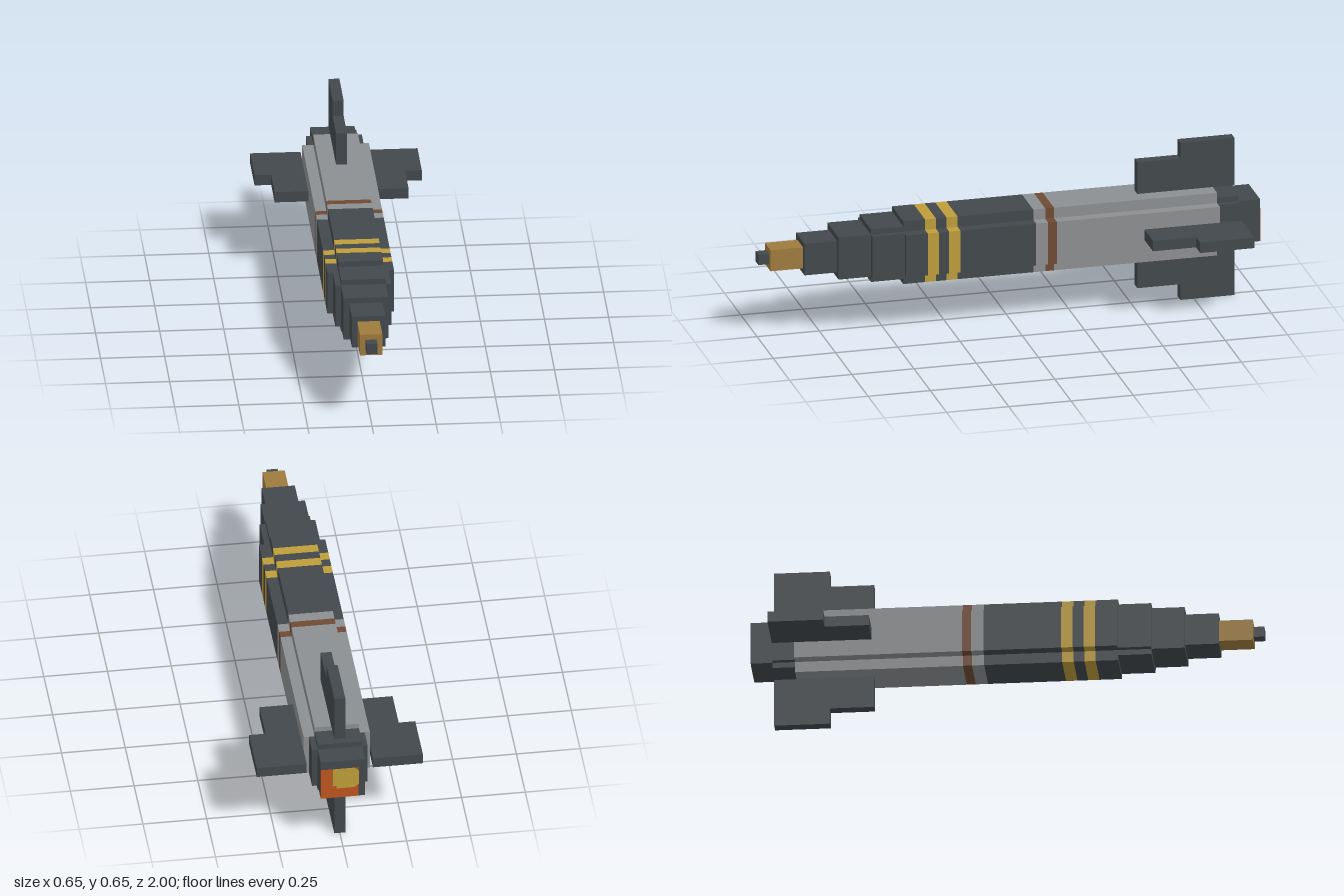
import * as THREE from 'three';

const CY = 0.326; // height of the long axis

const material = (name, color) => {
  const m = new THREE.MeshStandardMaterial({ color });
  m.name = name;
  return m;
};

export function createModel() {
  const dark = material('darkGrey', 0x42484c);
  const grey = material('lightGrey', 0x8c8f91);
  const yellow = material('stripeYellow', 0xbd9d3a);
  const gold = material('noseGold', 0x9e7b3d);
  const brown = material('bandBrown', 0x6f4a33);
  const orange = material('exhaustOrange', 0xbc5520);

  const rocket = new THREE.Group();
  rocket.name = 'rocket';
  const axis = new THREE.Group();
  axis.name = 'hull';
  axis.position.y = CY;
  rocket.add(axis);

  // A prism from z0 to z1 with a plus-shaped section: a = half span, b = half arm width.
  // When a equals b the section is a plain square.
  function section(name, mat, z0, z1, a, b = a) {
    const depth = z1 - z0;
    let geometry;
    if (a === b) {
      geometry = new THREE.BoxGeometry(2 * a, 2 * a, depth);
      geometry.translate(0, 0, depth / 2);
    } else {
      const outline = [[a, -b], [a, b], [b, b], [b, a], [-b, a], [-b, b],
        [-a, b], [-a, -b], [-b, -b], [-b, -a], [b, -a], [b, -b]];
      const shape = new THREE.Shape(outline.map(([x, y]) => new THREE.Vector2(x, y)));
      geometry = new THREE.ExtrudeGeometry(shape, { depth, bevelEnabled: false });
    }
    const mesh = new THREE.Mesh(geometry, mat);
    mesh.name = name;
    mesh.position.z = z0;
    axis.add(mesh);
  }

  // Main body in colour bands, from tail to nose
  const bands = [
    ['rearBody', grey, -0.825, -0.17],
    ['brownBand', brown, -0.17, -0.135],
    ['greyBand', grey, -0.135, -0.087],
    ['frontBody', dark, -0.087, 0.217],
    ['rearStripe', yellow, 0.217, 0.262],
    ['stripeGap', dark, 0.262, 0.304],
    ['frontStripe', yellow, 0.304, 0.348],
    ['shoulder', dark, 0.348, 0.435],
  ];
  for (const [name, mat, z0, z1] of bands) section(name, mat, z0, z1, 0.13, 0.087);

  // Stepped nose
  section('noseStepLarge', dark, 0.435, 0.565, 0.109, 0.087);
  section('noseStepMedium', dark, 0.565, 0.695, 0.087);
  section('noseStepSmall', dark, 0.695, 0.826, 0.065);
  section('noseCap', gold, 0.826, 0.957, 0.0435);
  section('noseTip', dark, 0.957, 1, 0.0215);

  // Stepped tail and nozzle
  section('tailCollar', dark, -0.912, -0.825, 0.109, 0.087);
  section('nozzle', dark, -0.998, -0.912, 0.087);

  // Painted exhaust on the rear face
  function rearPlate(name, mat, points, z) {
    const shape = new THREE.Shape(points.map(([x, y]) => new THREE.Vector2(x, y)));
    const mesh = new THREE.Mesh(
      new THREE.ExtrudeGeometry(shape, { depth: 0.001, bevelEnabled: false }), mat);
    mesh.name = name;
    mesh.position.z = z;
    axis.add(mesh);
  }
  rearPlate('exhaustGlow', orange,
    [[-0.062, -0.087], [0.087, -0.087], [0.087, 0.05], [-0.062, 0.05]], -0.999);
  rearPlate('exhaustCore', yellow,
    [[-0.062, -0.03], [-0.045, -0.043], [0.025, -0.043], [0.025, -0.03], [0.04, -0.03],
      [0.04, 0.05], [-0.045, 0.05], [-0.062, 0.035]], -1);

  // Four stepped fins: outline with x outward and y along the hull
  const finOutline = [[0.13, -0.912], [0.326, -0.912], [0.326, -0.695],
    [0.261, -0.695], [0.261, -0.522], [0.13, -0.522]];
  const finShape = new THREE.Shape(finOutline.map(([x, y]) => new THREE.Vector2(x, y)));
  const finGeometry = new THREE.ExtrudeGeometry(finShape, { depth: 0.043, bevelEnabled: false });
  finGeometry.translate(0, 0, -0.0215);
  finGeometry.rotateX(Math.PI / 2);
  ['leftFin', 'topFin', 'rightFin', 'bottomFin'].forEach((name, i) => {
    const fin = new THREE.Mesh(finGeometry, dark);
    fin.name = name;
    fin.rotation.z = i * Math.PI / 2;
    axis.add(fin);
  });

  return rocket;
}
